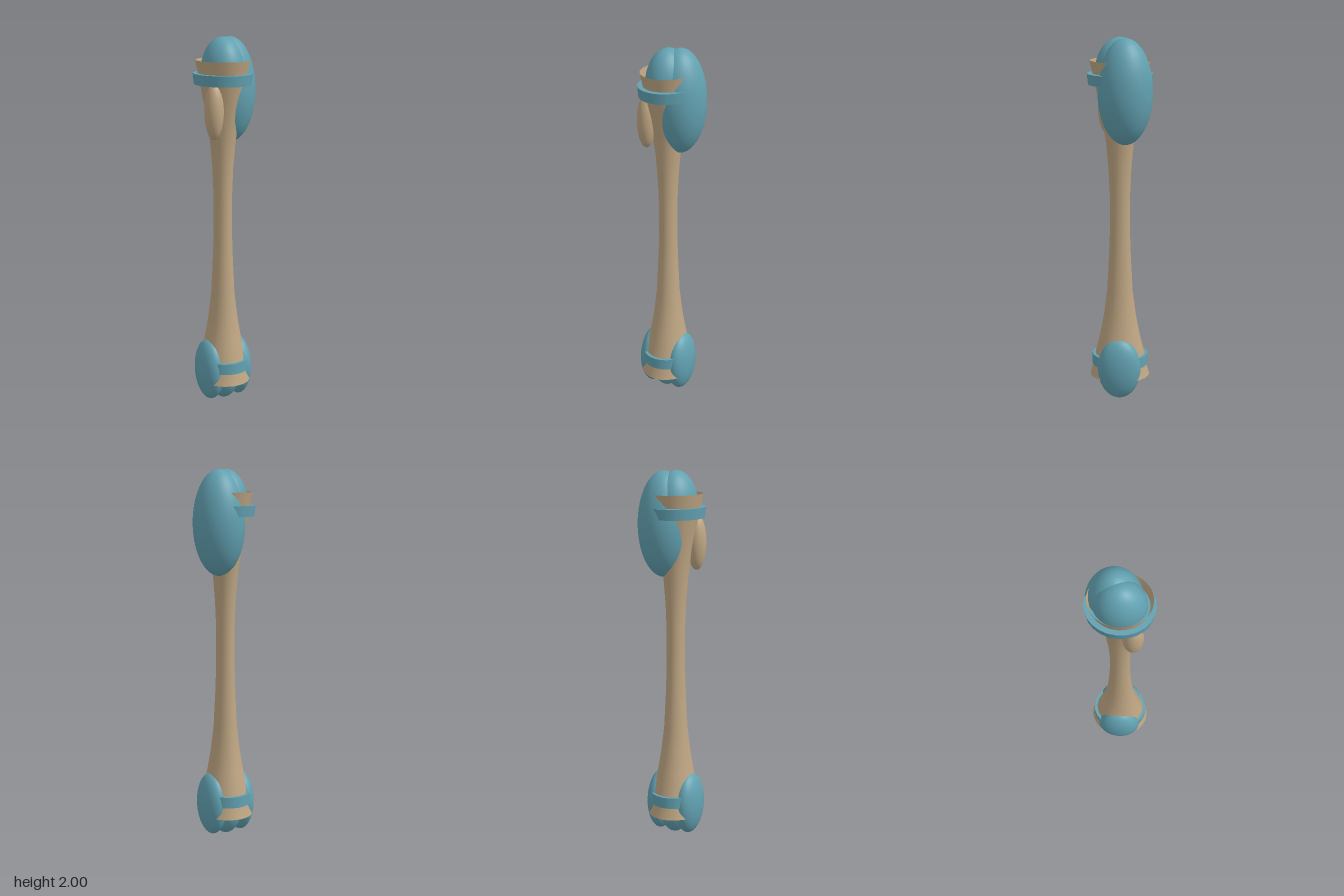
import * as THREE from 'three';

const SIDES = 24;
const AXIS_X = -0.02;     // the shaft sits slightly off centre
const DEPTH = 1.14;       // oval cross-section, deeper in z

export function createModel() {
  const model = new THREE.Group();
  model.name = 'longBone';
  const bone = new THREE.MeshStandardMaterial({ color: 0xbfa683, side: THREE.DoubleSide });
  const cartilage = new THREE.MeshStandardMaterial({ color: 0x62a1b1 });

  function add(name, geometry, material, x, y, z, sx = 1, sy = 1, sz = 1) {
    const mesh = new THREE.Mesh(geometry, material);
    mesh.name = name;
    mesh.position.set(x, y, z);
    mesh.scale.set(sx, sy, sz);
    model.add(mesh);
    return mesh;
  }

  // Shaft: open oval tube, waisted in the middle and flared at both ends
  const profile = [
    [0.145, 0.12], [0.13, 0.18], [0.119, 0.25], [0.096, 0.36], [0.078, 0.47], [0.062, 0.61],
    [0.053, 0.8], [0.048, 0.95], [0.048, 1.15], [0.054, 1.3], [0.064, 1.43],
    [0.08, 1.56], [0.102, 1.68], [0.121, 1.78], [0.14, 1.88],
  ].map(([r, y]) => new THREE.Vector2(r, y));
  add('shaft', new THREE.LatheGeometry(profile, SIDES), bone, AXIS_X, 0, 0, 1, 1, DEPTH);

  // Growth plates: solid discs through the shaft near each end
  add('upperGrowthPlate', new THREE.CylinderGeometry(0.153, 0.148, 0.057, SIDES),
    cartilage, AXIS_X, 1.783, 0, 1, 1, DEPTH);
  add('lowerGrowthPlate', new THREE.CylinderGeometry(0.135, 0.136, 0.06, SIDES),
    cartilage, AXIS_X, 0.214, 0, 1, 1, DEPTH);

  // Rounded ends, all made from one stretched sphere
  const ball = new THREE.SphereGeometry(1, 40, 28);
  add('upperEnd', ball, cartilage, AXIS_X, 1.81, 0, 0.113, 0.19, 0.133);
  add('jointHead', ball, cartilage, 0.035, 1.72, -0.03, 0.137, 0.279, 0.145);
  add('sideBump', ball, bone, -0.108, 1.622, 0.07, 0.05, 0.148, 0.053);
  add('lowerEnd', ball, cartilage, AXIS_X, 0.18, 0, 0.092, 0.18, 0.113);
  for (const side of [-1, 1]) {
    add(side < 0 ? 'rightCondyle' : 'leftCondyle', ball, cartilage,
      AXIS_X + side * 0.085, 0.18, 0, 0.069, 0.172, 0.119);
  }
  return model;
}
